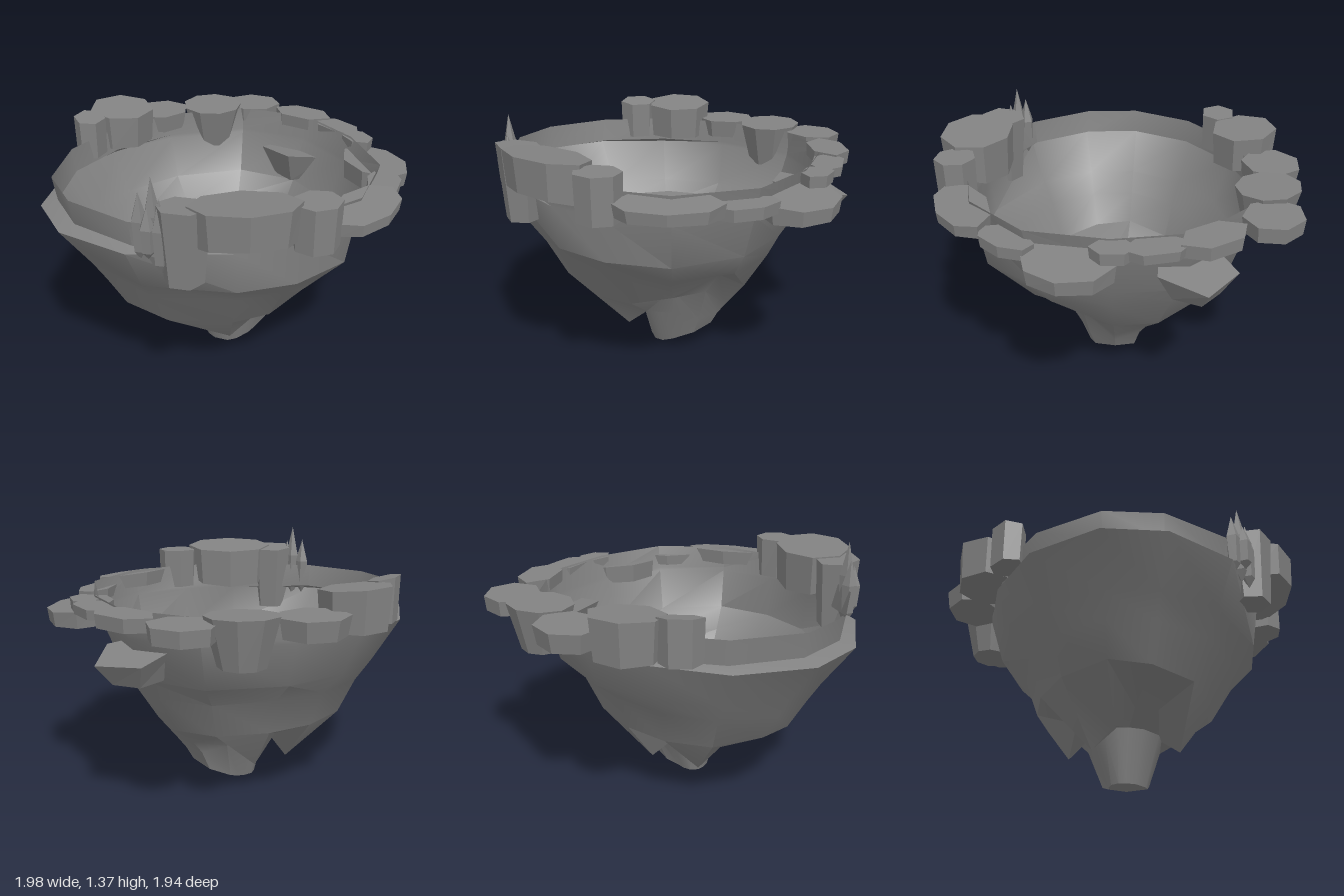
import * as THREE from 'three';
import { toCreasedNormals } from 'three/addons/utils/BufferGeometryUtils.js';

const stone = new THREE.MeshStandardMaterial({ color: 0x828282, side: THREE.DoubleSide });
const flatStone = new THREE.MeshStandardMaterial({ color: 0x828282, flatShading: true });
const { degToRad } = THREE.MathUtils;

// Directions of the bowl's corners, in degrees from +x towards +z
const angles = [0, 30, 60, 85, 108, 142, 166, 185, 209, 235, 265, 300, 330];
// Jagged heights per corner: lower lip, and the spikes hanging from it
const lip = [.42, .57, .48, .42, .41, .43, .45, .47, .44, .43, .43, .43, .42];
const spikes = [.28, .42, .45, .3, .19, .37, .36, .26, .15, .33, .18, .36, .31];

// Bowl sections from rim to tip: reach to +x, +z, -x, -z, and height at corner j
const sections = [
  { reach: [.77, .79, .93, .75], y: () => 1.13 },
  { reach: [.735, .775, .91, .745], y: () => 1.0 },
  { reach: [.73, .77, 1, .74], y: () => .98 },
  { reach: [.64, .75, .83, .67], y: () => .75 },
  { reach: [.58, .63, .76, .53], y: () => .63 },
  { reach: [.45, .5, .66, .46], y: (j) => lip[j] },
  { reach: [.34, .33, .32, .28], y: (j) => spikes[j] },
  { reach: [.29, .22, .19, .17], y: (j, x) => .3 - .3 * Math.max(0, x) },
  { reach: [.25, .14, .12, .06], y: (j, x) => .02 + .48 * Math.max(0, x) },
];

// Open rocky bowl lofted through the sections and closed at the tip
function bowlGeometry() {
  const n = angles.length, pos = [], index = [];
  for (const { reach, y } of sections) {
    angles.forEach((deg, j) => {
      const c = Math.cos(degToRad(deg)), s = Math.sin(degToRad(deg));
      // fuller corners on the left, flatter at the back right
      let bulge = 0;
      if (c > 0) bulge = .06;
      else if (s < 0) bulge = -.05;
      const r = (c * c * reach[c > 0 ? 0 : 2] + s * s * reach[s > 0 ? 1 : 3]) * (1 + bulge * Math.abs(2 * s * c));
      pos.push(r * c, y(j, r * c), r * s);
    });
  }
  const tip = sections.length * n;
  pos.push(-.03, 0, .03);
  for (let i = 0; i < sections.length; i++) {
    for (let j = 0; j < n; j++) {
      const k = (j + 1) % n, a = i * n + j, b = i * n + k;
      if (i === sections.length - 1) index.push(a, b, tip);
      else index.push(a, b, a + n, b, b + n, a + n);
    }
  }
  const g = new THREE.BufferGeometry();
  g.setAttribute('position', new THREE.Float32BufferAttribute(pos, 3));
  g.setIndex(index);
  return toCreasedNormals(g, 0.6);
}

// Many-sided rock at a compass direction and distance from the centre.
// depth and width are half sizes; taper shrinks the foot;
// slope and footSlope tilt the top and the foot upwards away from the centre
function rock(name, deg, dist, depth, width, sides, y0, y1, taper = 0.95, slope = 0, footSlope = 0) {
  const g = new THREE.CylinderGeometry(1, taper, y1 - y0, sides);
  g.scale(depth, 1, width);
  const p = g.attributes.position;
  for (let i = 0; i < p.count; i++) {
    const tilt = p.getY(i) > 0 ? slope : footSlope;
    p.setY(i, p.getY(i) + tilt * p.getX(i));
  }
  g.computeVertexNormals();
  const mesh = new THREE.Mesh(g, flatStone);
  mesh.name = name;
  const a = degToRad(deg);
  mesh.position.set(dist * Math.cos(a), (y0 + y1) / 2, dist * Math.sin(a));
  mesh.rotation.y = -a;
  return mesh;
}

// Thin pointed shard
function shard(x, z, y0, y1) {
  const h = y1 - y0, r = .04;
  const profile = [
    new THREE.Vector2(0, 0), new THREE.Vector2(r * .8, h * .15),
    new THREE.Vector2(r, h * .6), new THREE.Vector2(0, h),
  ];
  const mesh = new THREE.Mesh(new THREE.LatheGeometry(profile, 5), flatStone);
  mesh.name = 'shard';
  mesh.position.set(x, y0, z);
  return mesh;
}

function group(name, ...parts) {
  const g = new THREE.Group();
  g.name = name;
  return g.add(...parts);
}

export function createModel() {
  const bowl = new THREE.Mesh(bowlGeometry(), stone);
  bowl.name = 'bowl';

  const frontRocks = group('frontRocks',
    rock('hangingRock', 125, .84, .12, .13, 6, .86, 1.24, .75, .1),
    rock('largeRock', 106, .82, .18, .26, 8, 1.05, 1.25, .94, .12, .28),
    rock('smallRock', 83, .85, .11, .12, 7, 1, 1.23),
    rock('wideSlab', 61, .86, .13, .26, 8, 1.04, 1.11, .95, -.1),
  );
  const leftRocks = group('leftRocks',
    rock('cornerSlab', 36, .84, .09, .17, 7, 1.02, 1.08),
    rock('wideSlab', 13, .84, .18, .23, 8, .96, 1.05, .95, -.1),
    rock('smallSlab', -1, .82, .08, .11, 6, 1.06, 1.12),
    rock('middleSlab', -15, .83, .09, .17, 6, 1.07, 1.12),
    rock('rearSlab', -34, .85, .11, .19, 6, 1.06, 1.13),
    rock('lowBoulder', -32, .75, .22, .21, 5, .77, .92, .6, -.2),
  );
  const backRocks = group('backRocks',
    rock('cornerSlab', -57, .92, .15, .17, 7, 1.05, 1.13),
    rock('hangingRock', -74, .81, .17, .18, 9, .91, 1.15, .65, .05),
    rock('middleSlab', -97, .84, .16, .18, 7, 1.04, 1.14, .9),
    rock('largeRock', -118, .8, .18, .19, 7, 1.03, 1.23, .92, .1),
    rock('smallRock', -136, .83, .08, .11, 6, 1.02, 1.24, .95, .2),
  );
  const shards = group('shards',
    shard(-.6, .62, .92, 1.37), shard(-.65, .58, .95, 1.29),
    shard(-.63, .64, .98, 1.24), shard(-.58, .66, .9, 1.28),
  );
  return group('rockBowl', bowl, frontRocks, leftRocks, backRocks, shards);
}
